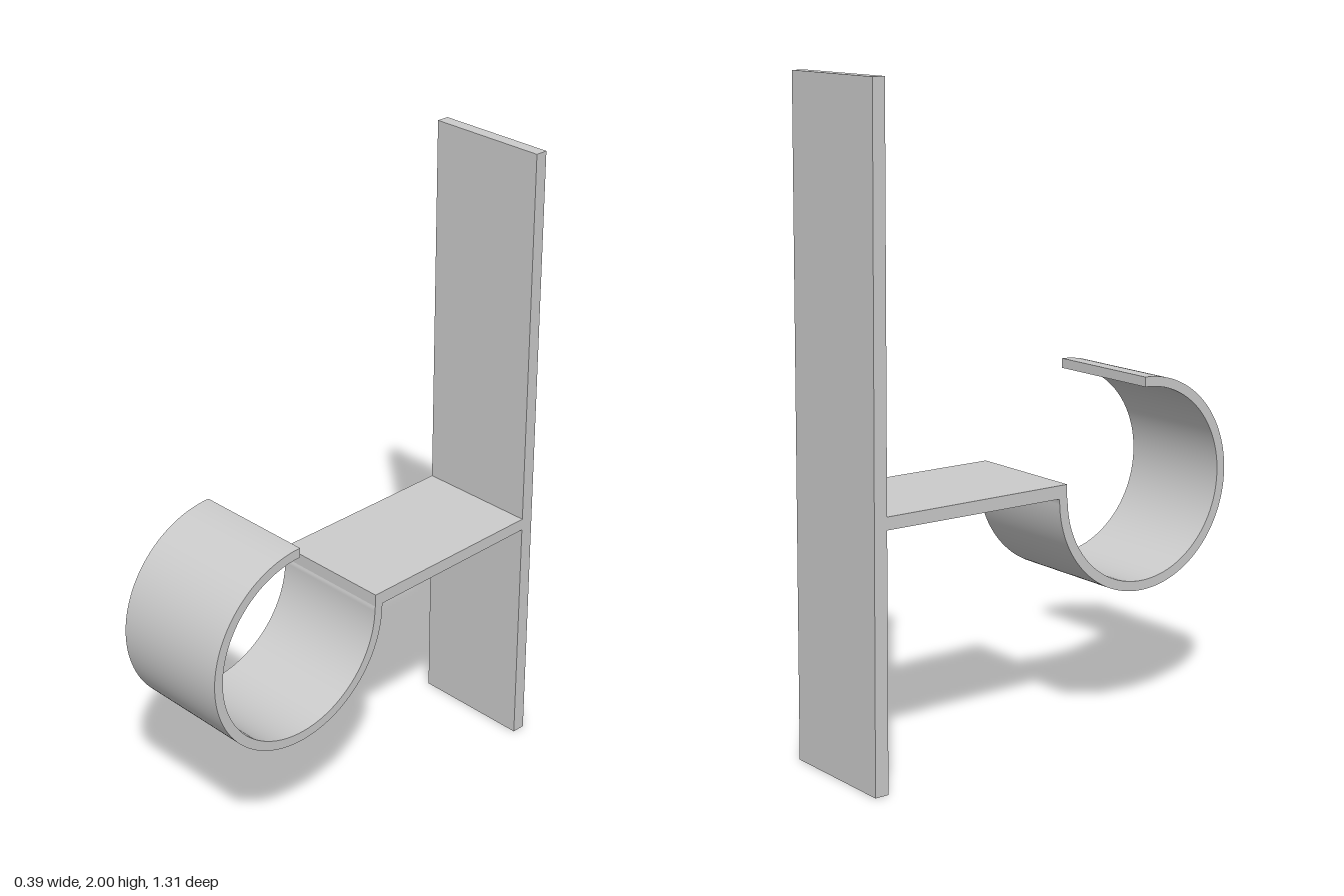
import * as THREE from 'three';
import { toCreasedNormals } from 'three/addons/utils/BufferGeometryUtils.js';

const WIDTH = 0.39;
const material = new THREE.MeshStandardMaterial({ color: 0xcccccc });

// Extrudes a side profile (shape x = towards the back, y = up) across the width.
function strip(name, shape) {
  const geometry = new THREE.ExtrudeGeometry(shape, {
    depth: WIDTH, bevelEnabled: false, curveSegments: 64,
  });
  geometry.translate(0, 0, -WIDTH / 2);
  geometry.rotateY(Math.PI / 2);
  const mesh = new THREE.Mesh(toCreasedNormals(geometry, 0.5), material);
  mesh.name = name;
  return mesh;
}

function polygon(points) {
  return new THREE.Shape(points.map(([x, y]) => new THREE.Vector2(x, y)));
}

export function createModel() {
  const group = new THREE.Group();
  group.name = 'clipBracket';

  // Slightly leaning upright plate at the back
  group.add(strip('backPlate', polygon([
    [0.613, 0], [0.657, 0], [0.636, 2], [0.596, 2],
  ])));

  // Horizontal arm from the plate to the hook
  group.add(strip('arm', polygon([
    [-0.032, 0.76], [-0.002, 0.76], [0.61, 0.766], [0.61, 0.804], [-0.032, 0.8],
  ])));

  // Three-quarter ring, open at the upper back
  const cx = -0.331, cy = 0.755, outer = 0.327, inner = 0.297;
  const hook = new THREE.Shape();
  hook.moveTo(cx, cy + outer);
  hook.absarc(cx, cy, outer, Math.PI / 2, Math.PI * 2, false);
  hook.lineTo(-0.002, 0.76);
  hook.lineTo(-0.032, 0.76);
  hook.absarc(cx, cy, inner, Math.PI * 2, Math.PI / 2, true);
  hook.closePath();
  group.add(strip('hook', hook));

  return group;
}
